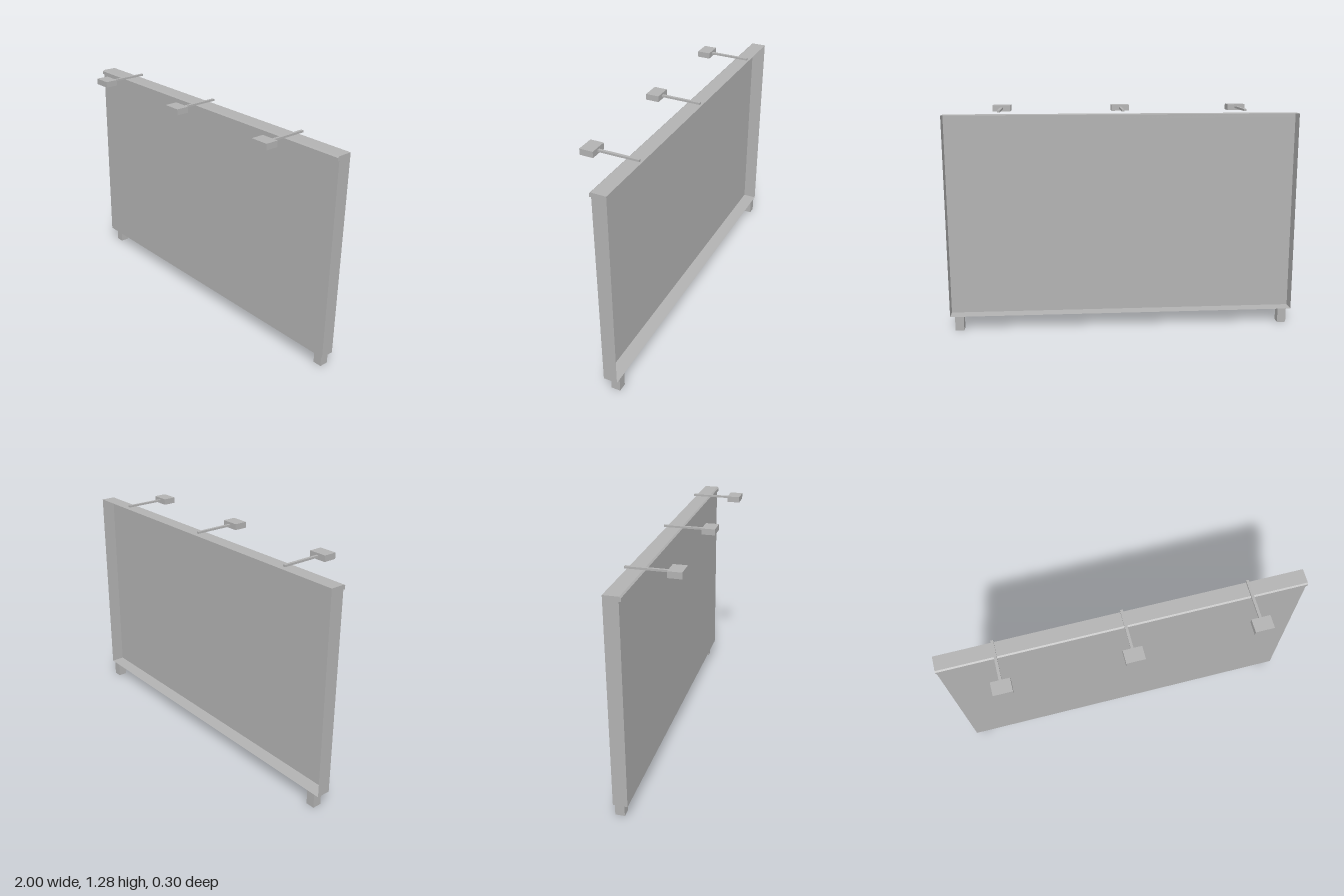
import * as THREE from 'three';

export function createModel() {
  const root = new THREE.Group();
  root.name = 'billboard';
  const grey = new THREE.MeshStandardMaterial({ color: 0xb2b2b2, side: THREE.DoubleSide });
  grey.name = 'grey';

  const add = (name, geometry, x = 0, y = 0, z = 0, parent = root) => {
    const mesh = new THREE.Mesh(geometry, grey);
    mesh.name = name;
    mesh.position.set(x, y, z);
    parent.add(mesh);
  };
  // Box given by its x centre, width and its y and z ranges
  const box = (name, x, w, y0, y1, z0, z1, parent) =>
    add(name, new THREE.BoxGeometry(w, y1 - y0, z1 - z0), x, (y0 + y1) / 2, (z0 + z1) / 2, parent);

  const back = -0.151, front = -0.072, bottom = 0.083, top = 1.238;

  // Thin tray, open at the back: a box without its last (rear) face
  const tray = new THREE.BoxGeometry(2, top - bottom, front - back);
  tray.setIndex(Array.from(tray.index.array).slice(0, 30));
  tray.clearGroups();
  add('panelTray', tray, 0, (top + bottom) / 2, (front + back) / 2);

  // Chamfered lip along the top of the front; profile is drawn as (-z, y)
  const profile = new THREE.Shape([
    [0.072, top], [0.069, top], [0.061, 1.231], [0.061, 1.213], [0.072, 1.213],
  ].map(([a, b]) => new THREE.Vector2(a, b)));
  const lip = new THREE.ExtrudeGeometry(profile, { depth: 2, bevelEnabled: false });
  lip.rotateY(Math.PI / 2).translate(-1, 0, 0);
  add('topLip', lip);

  // Feet
  for (const side of [-1, 1]) {
    box(side < 0 ? 'rightFoot' : 'leftFoot', side * 0.947, 0.05, 0, bottom, back, -0.099);
  }

  // Lamps on arms reaching forward over the top edge
  for (const x of [-0.685, 0, 0.685]) {
    const lamp = new THREE.Group();
    lamp.name = 'lamp';
    root.add(lamp);
    box('lampArm', x, 0.015, 1.254, 1.265, back, 0.076, lamp);
    box('lampHead', x, 0.103, 1.242, 1.276, 0.076, 0.151, lamp);
  }
  return root;
}
